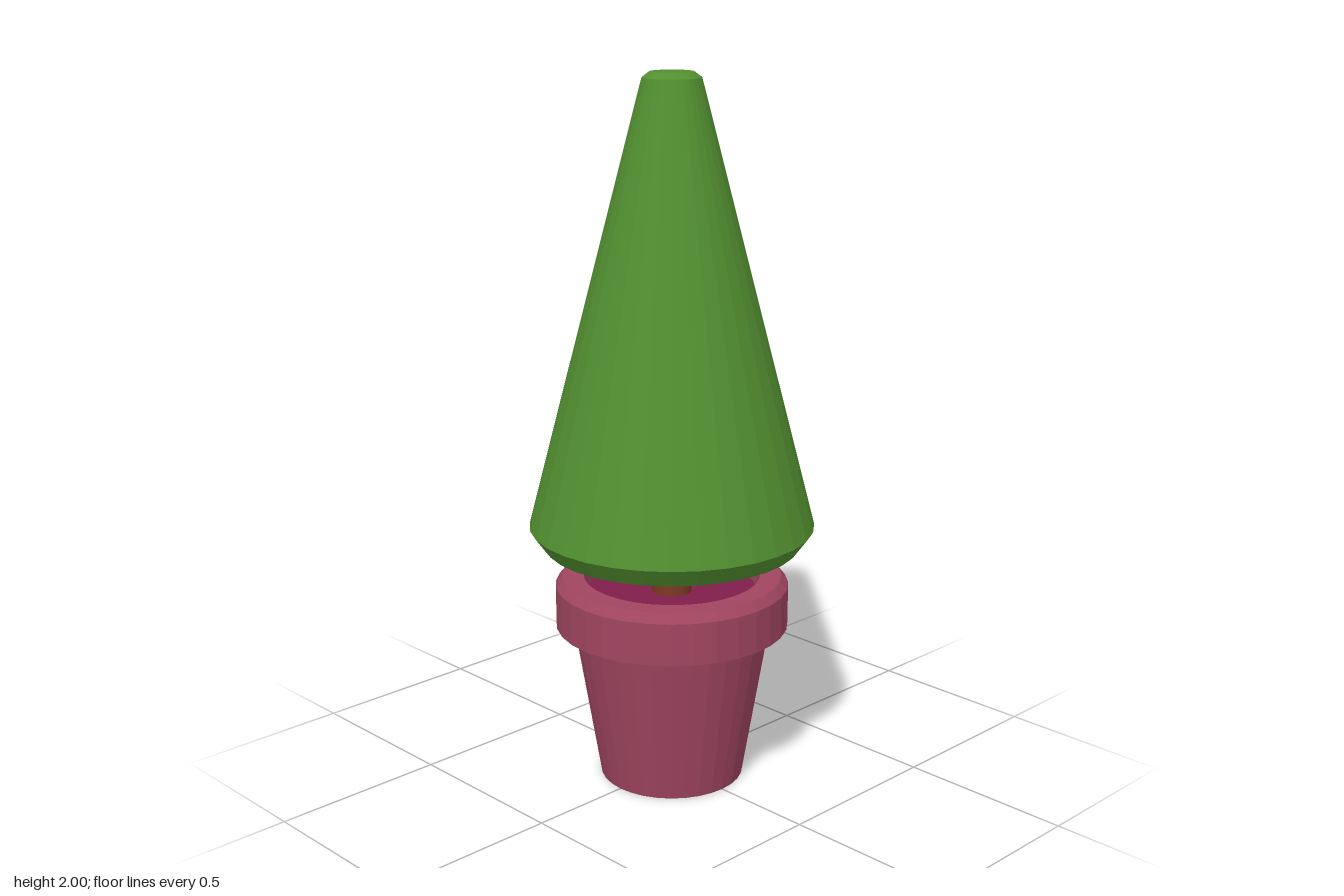
import * as THREE from 'three';

const SIDES = 32;
const material = (color) => new THREE.MeshStandardMaterial({ color, flatShading: true });

export function createModel() {
  const model = new THREE.Group();
  const green = material(0x529030);
  const pink = material(0xa04560);
  const brown = material(0x7d3823);
  const soilColour = material(0x801e4c);

  const add = (name, geometry, mat, y = 0) => {
    const mesh = new THREE.Mesh(geometry, mat);
    mesh.name = name;
    mesh.position.y = y;
    model.add(mesh);
    return mesh;
  };
  // Turned shape; the outline runs from bottom to top as [radius, height]
  const lathe = (points) =>
    new THREE.LatheGeometry(points.map(([r, y]) => new THREE.Vector2(r, y)), SIDES);
  // Flat disc or part ring facing down
  const underside = (name, inner, outer, y, start, length, mat) => {
    const geometry = new THREE.RingGeometry(inner, outer, SIDES * length / (Math.PI * 2), 1, start, length);
    add(name, geometry.rotateX(Math.PI / 2), mat, y);
  };

  // Tapered pot and its rim with a chamfered lip
  add('potBody', lathe([[0.205, 0], [0.28, 0.455]]), pink);
  add('potRim', lathe([[0.33, 0.455], [0.33, 0.575], [0.31, 0.6], [0.25, 0.6], [0.245, 0.55]]), pink);
  const base = new THREE.CircleGeometry(0.205, SIDES).rotateX(Math.PI / 2);
  add('potBase', base, green);

  // The underside of the rim is two-toned
  underside('rimUndersideGreen', 0.28, 0.33, 0.455, Math.PI / 4, Math.PI, green);
  underside('rimUndersidePink', 0.28, 0.33, 0.455, Math.PI * 1.25, Math.PI, pink);

  // Soil and trunk
  add('soil', new THREE.CircleGeometry(0.245, SIDES).rotateX(-Math.PI / 2), soilColour, 0.55);
  add('trunk', new THREE.CylinderGeometry(0.056, 0.056, 0.16, SIDES, 1, true), brown, 0.63);

  // Clipped cone of foliage with chamfered ends
  const outline = [[0, 0.695], [0.36, 0.695], [0.4, 0.75], [0.08, 1.985], [0.06, 2], [0, 2]];
  const foliage = lathe(outline);
  // Flatten one small stretch of the widest edge
  const pos = foliage.attributes.position;
  const corner = (i) => new THREE.Vector3().fromBufferAttribute(pos, i * outline.length + 2);
  const from = corner(25), to = corner(28);
  for (const i of [26, 27]) {
    const p = from.clone().lerp(to, (i - 25) / 3);
    pos.setXYZ(i * outline.length + 2, p.x, p.y, p.z);
  }
  foliage.computeVertexNormals();
  add('foliage', foliage, green);

  return model;
}
